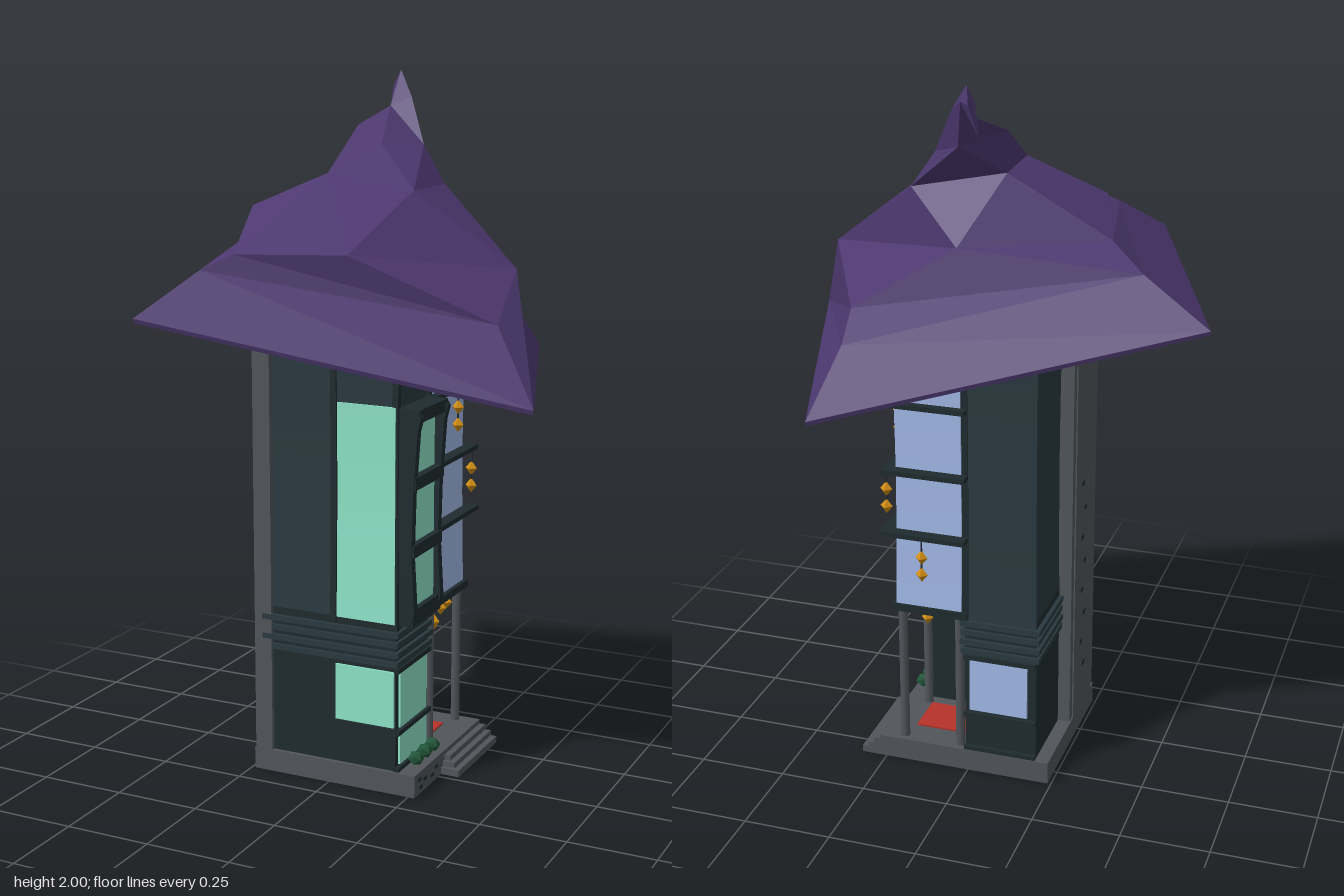
import * as THREE from 'three';

const mat = (name, color) => {
  const m = new THREE.MeshStandardMaterial({ color, side: THREE.DoubleSide });
  m.name = name;
  return m;
};

export function createModel() {
  const purple = mat('roof purple', 0x4d3870);
  const wall = mat('dark teal wall', 0x29393f);
  const trim = mat('black teal trim', 0x1f2b2f);
  const stone = mat('grey stone', 0x51565b);
  const green = mat('mint glass', 0x8ee4c8);
  const blue = mat('pale blue glass', 0xa4bbea);
  const amber = mat('amber lantern', 0xd38f14);
  const leaf = mat('bush green', 0x1f5438);
  const red = mat('red mat', 0xb5322a);

  const model = new THREE.Group();
  model.name = 'crookedTower';
  const add = (name, geo, m, parent = model) => {
    const mesh = new THREE.Mesh(geo, m);
    mesh.name = name;
    parent.add(mesh);
    return mesh;
  };
  const group = (name) => {
    const g = new THREE.Group();
    g.name = name;
    model.add(g);
    return g;
  };
  // Box given by its limits on each axis
  const span = (x0, x1, y0, y1, z0, z1, seg = 1) =>
    new THREE.BoxGeometry(x1 - x0, y1 - y0, z1 - z0, 1, seg, 1)
      .translate((x0 + x1) / 2, (y0 + y1) / 2, (z0 + z1) / 2);
  // Pinch the upper storey slightly at mid height
  const bow = (geo) => {
    const p = geo.attributes.position;
    for (let i = 0; i < p.count; i++) {
      const t = THREE.MathUtils.clamp((p.getY(i) - 0.48) / 0.86, 0, 1);
      const s = Math.sin(Math.PI * t);
      p.setX(i, p.getX(i) * (1 - 0.02 * s));
      p.setZ(i, (p.getZ(i) + 0.07) * (1 - 0.035 * s) - 0.07);
    }
    geo.computeVertexNormals();
    return geo;
  };
  // L-shaped storey leaving the porch corner open
  const storey = (y0, y1, e = 0) => {
    const pts = [[-0.2 - e, 0.16 + e], [0.205 + e, 0.16 + e], [0.205 + e, -0.06 - e],
      [0.01 + e, -0.06 - e], [0.01 + e, -0.3 - e], [-0.2 - e, -0.3 - e]];
    const shape = new THREE.Shape(pts.map(([x, z]) => new THREE.Vector2(x, -z)));
    return new THREE.ExtrudeGeometry(shape, { depth: y1 - y0, bevelEnabled: false })
      .rotateX(-Math.PI / 2).translate(0, y0, 0);
  };

  // Base, steps and mat
  const base = group('base');
  add('plinth', span(-0.24, 0.27, 0, 0.065, -0.315, 0.172), stone, base);
  for (let i = 0; i < 3; i++)
    add('step', span(0.26, 0.325 - i * 0.018, 0, 0.02 + i * 0.016, -0.315, -0.02 - i * 0.012), stone, base);
  add('doorMat', span(0.01, 0.185, 0.065, 0.07, -0.23, -0.1), red, base);
  for (const [z, y] of [[0.13, 0.02], [0.1, 0.035], [0.14, 0.045], [0.05, 0.025], [0.02, 0.04]])
    add('baseBrick', span(0.27, 0.273, y - 0.005, y + 0.005, z - 0.01, z + 0.01), trim, base);

  // Lower storey and ringed band
  add('lowerStorey', storey(0.06, 0.5), trim);
  for (let i = 0; i < 4; i++) {
    const y = 0.375 + i * 0.029;
    add('bandRing', storey(y, y + 0.016, 0.01 + 0.002 * (i % 2)), wall);
  }

  // Upper storey
  add('upperStorey', bow(span(-0.2, 0.205, 0.48, 1.36, -0.303, 0.16, 14)), wall);
  for (const [x, z] of [[0.202, 0.156], [0.012, 0.158], [0.202, -0.06], [0.008, -0.298]])
    add('cornerPost', bow(span(x - 0.009, x + 0.009, 0.48, 1.33, z - 0.009, z + 0.009, 14)), trim);

  // Side pier
  const pier = group('sidePier');
  add('pierSlab', span(-0.236, -0.182, 0.06, 1.37, -0.075, 0.172), stone, pier);
  add('pierFace', span(-0.24, -0.2, 0.06, 1.36, -0.05, 0.14), stone, pier);
  for (let i = 0; i < 8; i++) {
    const y = 0.2 + i * 0.085, z = i % 2 ? 0.02 : 0.05;
    add('pierBrick', span(-0.2415, -0.239, y - 0.007, y + 0.007, z - 0.012, z + 0.012), trim, pier);
  }

  // Windows
  const glass = group('windows');
  add('tallWindow', bow(span(0.024, 0.204, 0.5, 1.115, 0.158, 0.167, 14)), green, glass);
  add('frontWindow', span(0.02, 0.202, 0.195, 0.36, 0.158, 0.166), green, glass);
  for (const [y0, y1] of [[0.19, 0.355], [0.08, 0.168]]) {
    add('sideWindow', span(0.203, 0.211, y0, y1, -0.045, 0.14), green, glass);
    add('porchWindow', span(0.008, 0.016, y0, y1, -0.275, -0.1), blue, glass);
  }
  add('backWindow', span(-0.175, -0.005, 0.195, 0.36, -0.308, -0.3), blue, glass);
  add('cornerGlassSide', bow(span(0.2, 0.212, 0.5, 1.3, -0.307, -0.07, 14)), blue, glass);
  add('cornerGlassBack', bow(span(0.018, 0.212, 0.5, 1.3, -0.309, -0.3, 14)), blue, glass);
  for (const y of [0.07, 0.18, 0.365]) {
    add('sideSill', span(0.2, 0.218, y - 0.007, y + 0.007, -0.06, 0.165), trim, glass);
    add('backSill', span(-0.2, 0.012, y - 0.007, y + 0.007, -0.313, -0.295), trim, glass);
  }
  add('frontSill', span(0.012, 0.21, 0.177, 0.193, 0.155, 0.17), trim, glass);

  // Side bay with three panes
  const bay = group('sideBay');
  const cheek = new THREE.Shape([[0.19, 0.49], [0.24, 0.495], [0.256, 0.53], [0.246, 0.7],
    [0.25, 0.87], [0.262, 1.05], [0.272, 1.09], [0.262, 1.105], [0.19, 1.115]]
    .map(([x, y]) => new THREE.Vector2(x, y)));
  for (const z of [0.126, -0.056])
    add('bayCheek', new THREE.ExtrudeGeometry(cheek, { depth: 0.024, bevelEnabled: false }).translate(0, 0, z), trim, bay);
  for (const [y, h, x] of [[0.517, 0.045, 0.25], [0.71, 0.036, 0.252], [0.903, 0.036, 0.256], [1.092, 0.036, 0.266]])
    add('bayBar', span(0.19, x, y - h / 2, y + h / 2, -0.05, 0.145), trim, bay);
  add('bayGlass', span(0.225, 0.234, 0.5, 1.1, -0.04, 0.13), green, bay);

  // Corner ledges and porch pillars
  const ledges = group('cornerLedges');
  add('porchCeiling', span(0.0, 0.225, 0.481, 0.503, -0.315, -0.06), trim, ledges);
  for (const [y, o] of [[0.725, 0.012], [0.91, 0.008], [1.105, 0]]) {
    add('ledgeSide', span(0.19, 0.235 + o, y - 0.007, y + 0.007, -0.325 - o, -0.055), trim, ledges);
    add('ledgeBack', span(0.0, 0.2, y - 0.007, y + 0.007, -0.325 - o, -0.28), trim, ledges);
  }
  for (const [x, z] of [[0.2, -0.086], [0.2, -0.287], [0.03, -0.287]])
    add('porchPillar', new THREE.CylinderGeometry(0.014, 0.014, 0.43, 8).translate(x, 0.275, z), stone);

  // Lanterns
  const lanterns = group('lanterns');
  const lantern = (x, y, z) => {
    add('lantern', new THREE.OctahedronGeometry(0.018).scale(1, 1.25, 1).translate(x, y, z), amber, lanterns);
  };
  for (const [x, y, z] of [[0.228, 1.05, -0.215], [0.235, 0.85, -0.305], [0.13, 0.66, -0.318]]) {
    lantern(x, y, z);
    lantern(x, y - 0.052, z);
    add('lanternCord', span(x - 0.002, x + 0.002, y - 0.05, y + 0.055, z - 0.002, z + 0.002), trim, lanterns);
  }
  for (const [x, y, z] of [[0.19, 0.465, -0.13], [0.17, 0.44, -0.12], [0.2, 0.455, -0.165],
    [0.18, 0.41, -0.165], [0.2, 0.46, -0.21], [0.16, 0.44, -0.205], [0.17, 0.395, -0.17]]) lantern(x, y, z);

  // Bushes
  for (const z of [0.1, 0.04, -0.015]) {
    const bush = new THREE.IcosahedronGeometry(0.024, 0).scale(1, 0.9, 1).translate(0.243, 0.09, z);
    add('bush', bush, leaf);
  }

  // Crooked hat roof: named corner points joined by facets
  const P = {
    a: [-0.65, 1.395, -0.29], b: [0.31, 1.172, -0.66], c: [0.645, 1.172, 0.29], d: [-0.31, 1.395, 0.66],
    a1: [-0.46, 1.51, -0.235], b1: [0.265, 1.335, -0.515], d1: [-0.21, 1.505, 0.49],
    A: [-0.355, 1.57, -0.155], B: [0.275, 1.405, -0.42], C: [0.5, 1.365, 0.18], D: [-0.135, 1.545, 0.445],
    E: [0.455, 1.48, -0.07], F: [0.18, 1.688, -0.215], G: [0.14, 1.545, 0.335], H: [-0.28, 1.635, 0.075],
    I: [-0.06, 1.73, 0.045], J: [0.19, 1.69, 0.025], K: [-0.08, 1.85, -0.19], L: [0.025, 1.8, -0.12],
    M: [0.1, 1.795, -0.245], N: [-0.03, 1.9, -0.3], O: [0.015, 1.825, -0.31], Q: [0.025, 1.925, -0.325],
    R: [-0.075, 1.735, -0.18], S: [0.02, 1.56, -0.315],
    T: [-0.033, 2.0, -0.378], U: [-0.05, 1.955, -0.365], V: [-0.015, 1.955, -0.375],
    X: [-0.045, 1.955, -0.405], W: [-0.068, 1.87, -0.388],
  };
  for (const k of ['a', 'b', 'c', 'd']) {
    const [x, y, z] = P[k];
    P[k + '0'] = [x * 0.995, y - 0.012, z * 0.995];
    P[k + '2'] = [x * 0.5, 1.36 + (y - 1.28) * 0.5, z * 0.5];
  }
  // Each face is a fan of triangles over its listed corners
  const facets = (faces) => {
    const v = [];
    for (const f of faces) {
      const n = f.split(' ');
      for (let i = 1; i < n.length - 1; i++) v.push(...P[n[0]], ...P[n[i + 1]], ...P[n[i]]);
    }
    const g = new THREE.BufferGeometry();
    g.setAttribute('position', new THREE.Float32BufferAttribute(v, 3));
    g.computeVertexNormals();
    return g;
  };
  const roof = group('roof');
  const sides = ['a b', 'b c', 'c d', 'd a'].map((s) => s.split(' '));
  add('brim', facets([
    ...sides.map(([p, q]) => `${p}0 ${q}0 ${q} ${p}`),
    'a b b1 a1', 'a1 b1 B S A', 'c C E B b1 b', 'c d d1 C', 'C d1 D G', 'd a a1 d1', 'd1 a1 A D', 'D A H',
  ]), purple, roof);
  add('brimUnderside', facets([
    ...sides.map(([p, q]) => `${q}0 ${p}0 ${p}2 ${q}2`), 'd2 c2 b2 a2',
  ]), purple, roof);
  add('crown', facets([
    'S B E', 'S E F', 'A S R', 'S F R', 'E J F', 'E G J', 'E C G',
    'G D I', 'G I J', 'D H I', 'H A R', 'H R I',
  ]), purple, roof);
  add('spire', facets([
    'I R K', 'I K L', 'J I L', 'J L M', 'F J M', 'F M O', 'R F O', 'R O K',
  ]), purple, roof);
  add('crookedTip', facets([
    'L K N', 'M L N', 'M N Q', 'O M Q', 'K O N',
    'N U T', 'Q N T', 'Q T V', 'O Q V', 'O V U', 'N O U',
    'T U W', 'T W X', 'V T X', 'V X W', 'U V W',
  ]), purple, roof);

  return model;
}
